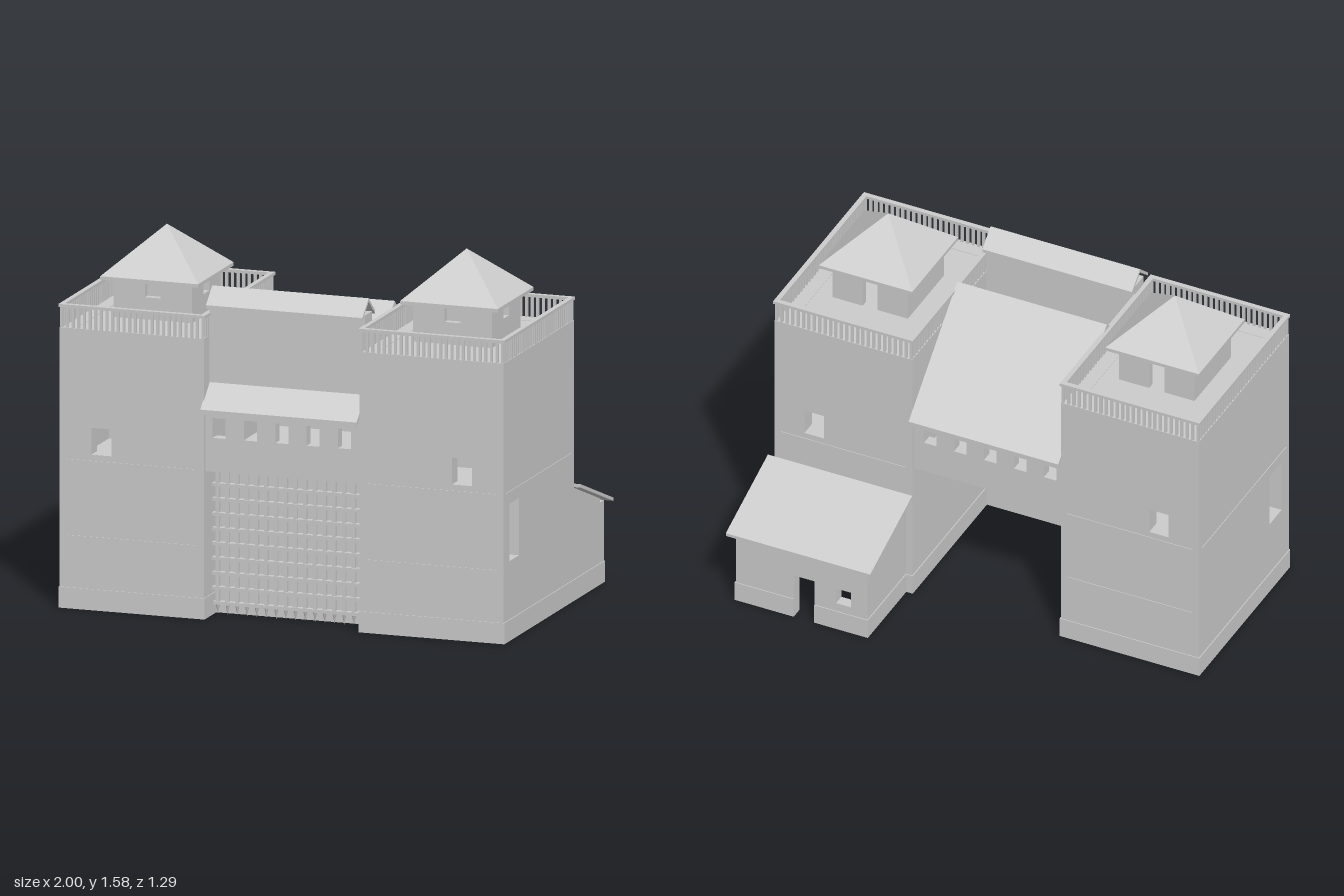
import * as THREE from 'three';

const stone = new THREE.MeshStandardMaterial({ color: 0xcccccc });
stone.name = 'pale stone';

function add(parent, name, geometry) {
  const mesh = new THREE.Mesh(geometry, stone);
  mesh.name = name;
  parent.add(mesh);
  return mesh;
}

// Box given by its limits on each axis
function block(parent, name, x0, x1, y0, y1, z0, z1) {
  const mesh = add(parent, name, new THREE.BoxGeometry(x1 - x0, y1 - y0, z1 - z0));
  mesh.position.set((x0 + x1) / 2, (y0 + y1) / 2, (z0 + z1) / 2);
  return mesh;
}

// Upright wall from a to b, with openings [u0, u1, y0, y1]; openings on the base become notches
function wallGeometry(a, b, y, topA, topB, t, holes = []) {
  const shape = new THREE.Shape();
  shape.moveTo(a, y);
  for (const [u0, u1, v0, v1] of holes) {
    if (v0 > y) {
      const hole = new THREE.Path();
      hole.moveTo(u0, v0).lineTo(u0, v1).lineTo(u1, v1).lineTo(u1, v0).closePath();
      shape.holes.push(hole);
    } else {
      shape.lineTo(u0, y).lineTo(u0, v1).lineTo(u1, v1).lineTo(u1, y);
    }
  }
  shape.lineTo(b, y).lineTo(b, topB).lineTo(a, topA).closePath();
  return new THREE.ExtrudeGeometry(shape, { depth: t, bevelEnabled: false });
}

// Four walls around a rectangle
function room(parent, name, [x0, x1, z0, z1], y0, y1, t, holes = {}) {
  const g = new THREE.Group();
  g.name = name;
  parent.add(g);
  add(g, 'frontWall', wallGeometry(x0, x1, y0, y1, y1, t, holes.front)).position.z = z1 - t;
  add(g, 'backWall', wallGeometry(x0, x1, y0, y1, y1, t, holes.back)).position.z = z0;
  for (const [side, x] of [['rightWall', x0 + t], ['leftWall', x1]]) {
    const key = side === 'leftWall' ? 'left' : 'right';
    const w = add(g, side, wallGeometry(z0 + t, z1 - t, y0, y1, y1, t, holes[key]));
    w.rotation.y = -Math.PI / 2;
    w.position.x = x;
  }
  return g;
}

// Profile of [z, y] points carried along x
function profile(parent, name, points, x0, x1) {
  const shape = new THREE.Shape(points.map(([z, y]) => new THREE.Vector2(-z, y)));
  const mesh = add(parent, name, new THREE.ExtrudeGeometry(shape, { depth: x1 - x0, bevelEnabled: false }));
  mesh.rotation.y = Math.PI / 2;
  mesh.position.x = x0;
  return mesh;
}

function gableRoof(parent, name, z0, zr, z1, eave, ridge, t, x0, x1) {
  return profile(parent, name, [
    [z0, eave], [zr, ridge], [z1, eave], [z1, eave - t], [zr, ridge - t], [z0, eave - t]
  ], x0, x1);
}

function railing(parent, [x0, x1, z0, z1]) {
  const g = new THREE.Group();
  g.name = 'railing';
  parent.add(g);
  room(g, 'handRail', [x0, x1, z0, z1], 1.287, 1.3, 0.022);
  const bar = new THREE.BoxGeometry(0.011, 0.09, 0.011);
  const spots = [];
  const nx = 25, nz = 33, m = 0.011;
  for (let i = 0; i <= nx; i++) {
    const x = THREE.MathUtils.lerp(x0 + m, x1 - m, i / nx);
    spots.push([x, z0 + m], [x, z1 - m]);
  }
  for (let i = 1; i < nz; i++) {
    const z = THREE.MathUtils.lerp(z0 + m, z1 - m, i / nz);
    spots.push([x0 + m, z], [x1 - m, z]);
  }
  for (const [x, z] of spots) add(g, 'baluster', bar).position.set(x, 1.243, z);
}

function tower(parent, cx, out) {
  const g = new THREE.Group();
  g.name = out > 0 ? 'leftTower' : 'rightTower';
  parent.add(g);
  const x0 = cx - 0.32, x1 = cx + 0.32, z0 = -0.245, z1 = 0.61, t = 0.07, e = 0.004;
  const wx = cx + out * 0.135;
  const window = [[wx - 0.045, wx + 0.045, 0.665, 0.78]];
  const sideWindow = [[0.425, 0.5399, 0.34, 0.585]];
  room(g, 'towerWalls', [x0, x1, z0, z1], 0, 1.2, t,
    { front: window, back: window, [out > 0 ? 'left' : 'right']: sideWindow });
  room(g, 'plinth', [x0 - e, x1 + e, z0 - e, z1 + e], 0, 0.09, 0.02);

  // Floors, partition and roof deck
  for (const y of [0.31, 0.64, 1.198]) block(g, 'floor', x0 + 0.06, x1 - 0.06, y - 0.025, y, z0 + 0.06, z1 - 0.06);
  block(g, 'partition', x0 + 0.06, x1 - 0.06, 0.3, 1.19, 0.16, 0.2);
  // Fine string courses at floor level
  for (const y of [0.31, 0.635]) {
    block(g, 'stringCourse', x0 + 0.03, x1 - 0.03, y - 0.004, y + 0.004, z0 - 0.003, z1 + 0.003);
    const x = out > 0 ? x1 : x0;
    if (y > 0.5) block(g, 'stringCourse', x - 0.003, x + 0.003, y - 0.004, y + 0.004, z0 + 0.03, z1 - 0.03);
  }
  railing(g, [x0 - e, x1 + e, z0 - e, z1 + e]);

  // Lookout hut with pyramid roof
  const opening = [[cx - 0.035, cx + 0.035, 1.295, 1.36]];
  const sideOpening = [[0.147, 0.217, 1.295, 1.36]];
  room(g, 'lookoutWalls', [cx - 0.175, cx + 0.175, 0.01, 0.355], 1.2, 1.37, 0.03, {
    front: opening, left: sideOpening, right: sideOpening,
    back: [[cx - 0.035, cx + 0.035, 1.2, 1.36]]
  });
  block(g, 'lookoutEaves', cx - 0.217, cx + 0.217, 1.365, 1.38, -0.035, 0.4);
  const roof = add(g, 'lookoutRoof', new THREE.ConeGeometry(0.217 * Math.SQRT2, 0.195, 4, 1).toNonIndexed());
  roof.geometry.rotateY(Math.PI / 4);
  roof.geometry.computeVertexNormals();
  roof.position.set(cx, 1.4775, 0.1825);
}

function gatehouse(parent) {
  const g = new THREE.Group();
  g.name = 'gatehouse';
  parent.add(g);
  const x0 = -0.36, x1 = 0.33;

  // Upper gallery with a row of windows through both walls
  const windows = [];
  for (let i = 0; i < 5; i++) {
    const x = -0.3 + i * 0.139;
    windows.push([x - 0.029, x + 0.029, 0.775, 0.86]);
  }
  const wall = wallGeometry(x0, x1, 0.63, 0.93, 0.93, 0.05, windows);
  add(g, 'galleryFront', wall).position.z = 0.54;
  add(g, 'galleryBack', wall).position.z = -0.225;
  block(g, 'passageCeiling', x0, x1, 0.63, 0.66, -0.175, 0.54);

  // Main roof, its gable ends, and the raised front wall with its own roof
  gableRoof(g, 'mainRoof', -0.28, 0.1825, 0.645, 0.905, 1.325, 0.022, x0 - 0.004, x1);
  for (const x of [x0 + 0.005, x1 - 0.025]) {
    profile(g, 'gableEnd', [[-0.22, 0.94], [0.1825, 1.305], [0.585, 0.94]], x, x + 0.02);
  }
  block(g, 'raisedFront', x0, x1 - 0.002, 0.95, 1.34, 0.455, 0.54);
  gableRoof(g, 'raisedRoof', 0.42, 0.4975, 0.575, 1.337, 1.405, 0.015, x0 - 0.004, x1);

  // Gate panel and portcullis
  block(g, 'gatePanel', x0, x1, 0.0, 0.63, 0.455, 0.47);
  const p = new THREE.Group();
  p.name = 'portcullis';
  g.add(p);
  const spike = new THREE.ConeGeometry(0.011, 0.05, 4);
  spike.rotateX(Math.PI);
  for (let i = 0; i < 16; i++) {
    const x = x0 + 0.022 + i * 0.0431;
    block(p, 'uprightBar', x - 0.008, x + 0.008, 0.05, 0.63, 0.492, 0.508);
    add(p, 'spike', spike).position.set(x, 0.025, 0.5);
  }
  for (let i = 0; i < 10; i++) {
    const y = 0.05 + i * 0.0633;
    block(p, 'crossBar', x0, x1, y - 0.007, y + 0.007, 0.488, 0.512);
  }
}

function shed(parent) {
  const g = new THREE.Group();
  g.name = 'shed';
  parent.add(g);
  const x0 = 0.36, x1 = 0.97, z0 = -0.61, z1 = -0.245, t = 0.05;
  const door = [0.605, 0.7, 0, 0.21];
  add(g, 'shedBack', wallGeometry(x0, x1, 0, 0.35, 0.35, t, [[0.435, 0.505, 0.13, 0.205], door])).position.z = z0;
  for (const x of [x0 + t, x1]) {
    const side = add(g, 'shedSide', wallGeometry(z0 + t, z1, 0, 0.368, 0.482, t));
    side.rotation.y = -Math.PI / 2;
    side.position.x = x;
  }
  // Plinth, broken at the doorway
  block(g, 'plinth', x0 - 0.004, 0.605, 0, 0.09, z0 - 0.004, z0 + 0.02);
  block(g, 'plinth', 0.7, x1 + 0.004, 0, 0.09, z0 - 0.004, z0 + 0.02);
  block(g, 'plinth', x1 - 0.02, x1 + 0.004, 0, 0.09, z0 + 0.02, -0.18);
  block(g, 'plinth', x0 - 0.004, x0 + 0.02, 0, 0.09, z0 + 0.02, z1);
  profile(g, 'shedRoof', [[-0.645, 0.355], [-0.245, 0.5], [-0.245, 0.485], [-0.645, 0.341]], 0.33, 1.0);
}

export function createModel() {
  const model = new THREE.Group();
  model.name = 'gatehouseFort';
  tower(model, -0.68, -1);
  tower(model, 0.65, 1);
  gatehouse(model);
  shed(model);
  return model;
}
